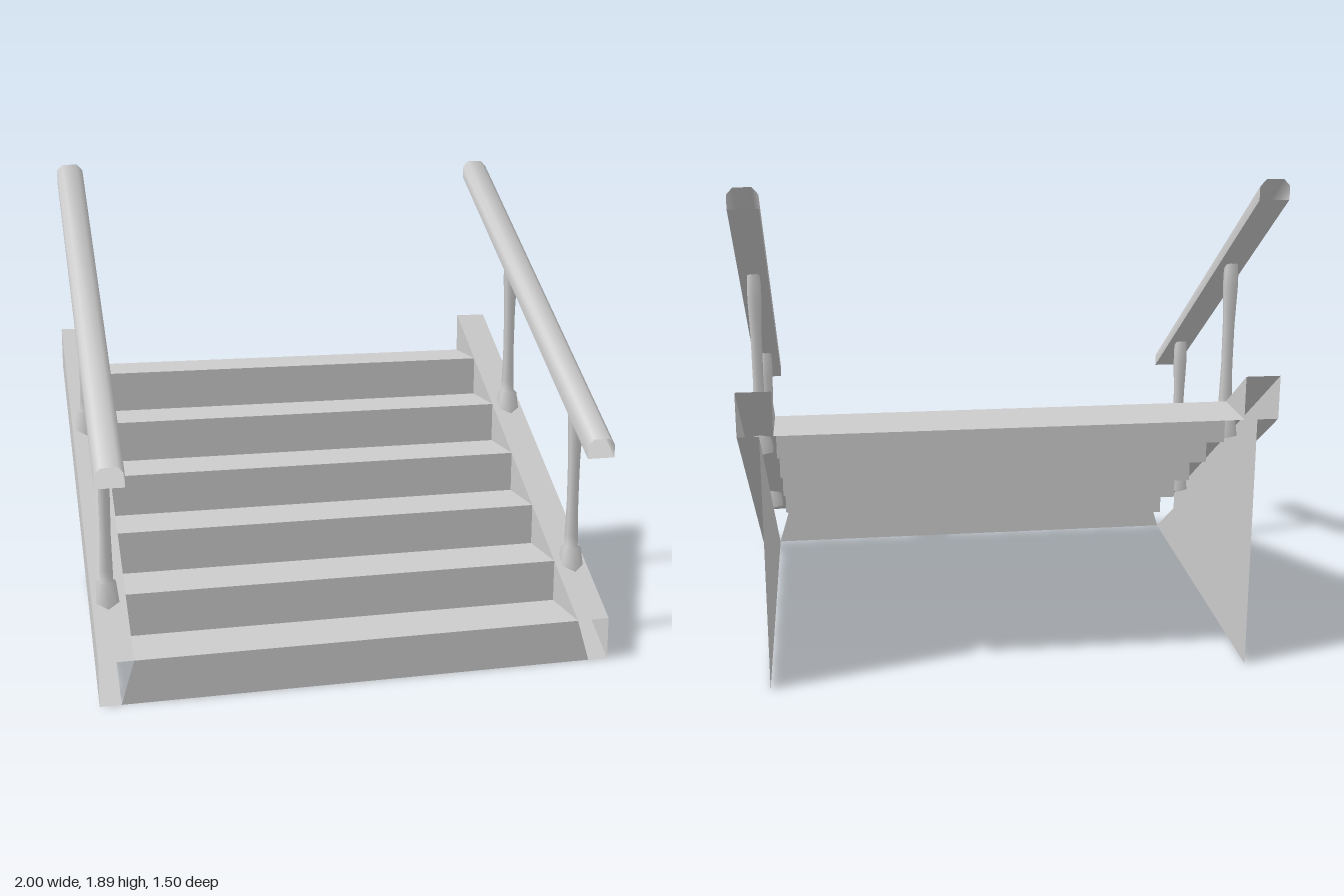
import * as THREE from 'three';
import { toCreasedNormals } from 'three/addons/utils/BufferGeometryUtils.js';

const STEPS = 6, RISE = 1 / 6, RUN = 0.25, FRONT = 0.75, BACK = -0.75;
const INNER = 0.87, PANEL = 0.92, OUTER = 1, RAIL_X = 0.94;

const material = new THREE.MeshStandardMaterial({ color: 0xcccccc, side: THREE.DoubleSide });

function addMesh(parent, name, geometry) {
  const mesh = new THREE.Mesh(geometry, material);
  mesh.name = name;
  parent.add(mesh);
  return mesh;
}

// Flat faces from corner lists (3 or 4 corners, counter-clockwise from outside)
function faces(list) {
  const pos = [];
  for (const f of list) {
    for (let i = 1; i < f.length - 1; i++) pos.push(...f[0], ...f[i], ...f[i + 1]);
  }
  const g = new THREE.BufferGeometry();
  g.setAttribute('position', new THREE.Float32BufferAttribute(pos, 3));
  g.computeVertexNormals();
  return g;
}

// Mirror corners to the other side, keeping the winding outward
const mirrored = (list, s) =>
  list.map((f) => (s > 0 ? f : f.map(([x, y, z]) => [-x, y, z]).reverse()));

// Open tube: a cross-section carried up the slope with vertical ends
function handrailGeometry() {
  const section = [[-0.055, 0], [0.055, 0], [0.055, 0.05], [0.032, 0.075], [-0.032, 0.075], [-0.055, 0.05]];
  const list = section.map(([x0, y0], i) => {
    const [x1, y1] = section[(i + 1) % section.length];
    return [[x0, 0.82 + y0, FRONT], [x1, 0.82 + y1, FRONT], [x1, 1.82 + y1, BACK], [x0, 1.82 + y0, BACK]];
  });
  return toCreasedNormals(faces(list), THREE.MathUtils.degToRad(50));
}

// Six-sided turned post with a flared foot
function balusterGeometry() {
  const profile = [
    [0.055, 0.285], [0.04, 0.39], [0.027, 0.395], [0.027, 0.44], [0.023, 0.58],
    [0.024, 0.75], [0.03, 0.9], [0.03, 0.95], [0.026, 1.0],
  ].map(([r, y]) => new THREE.Vector2(r, y));
  return new THREE.LatheGeometry(profile, 6);
}

export function createModel() {
  const group = new THREE.Group();
  group.name = 'staircase';

  // Risers and treads; the lowest riser widens to meet the side panels
  const risers = [], treads = [];
  for (let i = 0; i < STEPS; i++) {
    const y0 = i * RISE, y1 = y0 + RISE, z0 = FRONT - i * RUN, z1 = z0 - RUN;
    const w = i === 0 ? PANEL : INNER;
    risers.push([[-w, y0, z0], [w, y0, z0], [INNER, y1, z0], [-INNER, y1, z0]]);
    treads.push([[-INNER, y1, z0], [INNER, y1, z0], [INNER, y1, z1], [-INNER, y1, z1]]);
  }
  addMesh(group, 'risers', faces(risers));
  addMesh(group, 'treads', faces(treads));

  const rail = handrailGeometry(), post = balusterGeometry();

  for (const s of [1, -1]) {
    const side = new THREE.Group();
    side.name = s > 0 ? 'leftSide' : 'rightSide';
    group.add(side);

    // Hollow stringer: sloped top, outer band, underside, and inner triangles over the treads
    const stringer = [
      [[INNER, RISE, FRONT], [OUTER, RISE, FRONT], [OUTER, 1 + RISE, BACK], [INNER, 1 + RISE, BACK]],
      [[OUTER, 0, FRONT], [OUTER, 1, BACK], [OUTER, 1 + RISE, BACK], [OUTER, RISE, FRONT]],
      [[PANEL, 0, FRONT], [PANEL, 1, BACK], [OUTER, 1, BACK], [OUTER, 0, FRONT]],
    ];
    for (let i = 0; i < STEPS; i++) {
      const y = (i + 1) * RISE, z = FRONT - i * RUN;
      stringer.push([[INNER, y, z], [INNER, y + RISE, z - RUN], [INNER, y, z - RUN]]);
    }
    addMesh(side, 'stringer', faces(mirrored(stringer, s)));

    // Triangular side panel set in beneath the stringer
    const panel = [[[PANEL, 0, FRONT], [PANEL, 0, BACK], [PANEL, 1, BACK]]];
    addMesh(side, 'sidePanel', faces(mirrored(panel, s)));

    // Handrail on two balusters
    addMesh(side, 'handrail', rail).position.x = s * RAIL_X;
    for (const z of [0.5, -0.25]) {
      addMesh(side, 'baluster', post).position.set(s * RAIL_X, (0.5 - z) * RISE / RUN, z);
    }
  }
  return group;
}
